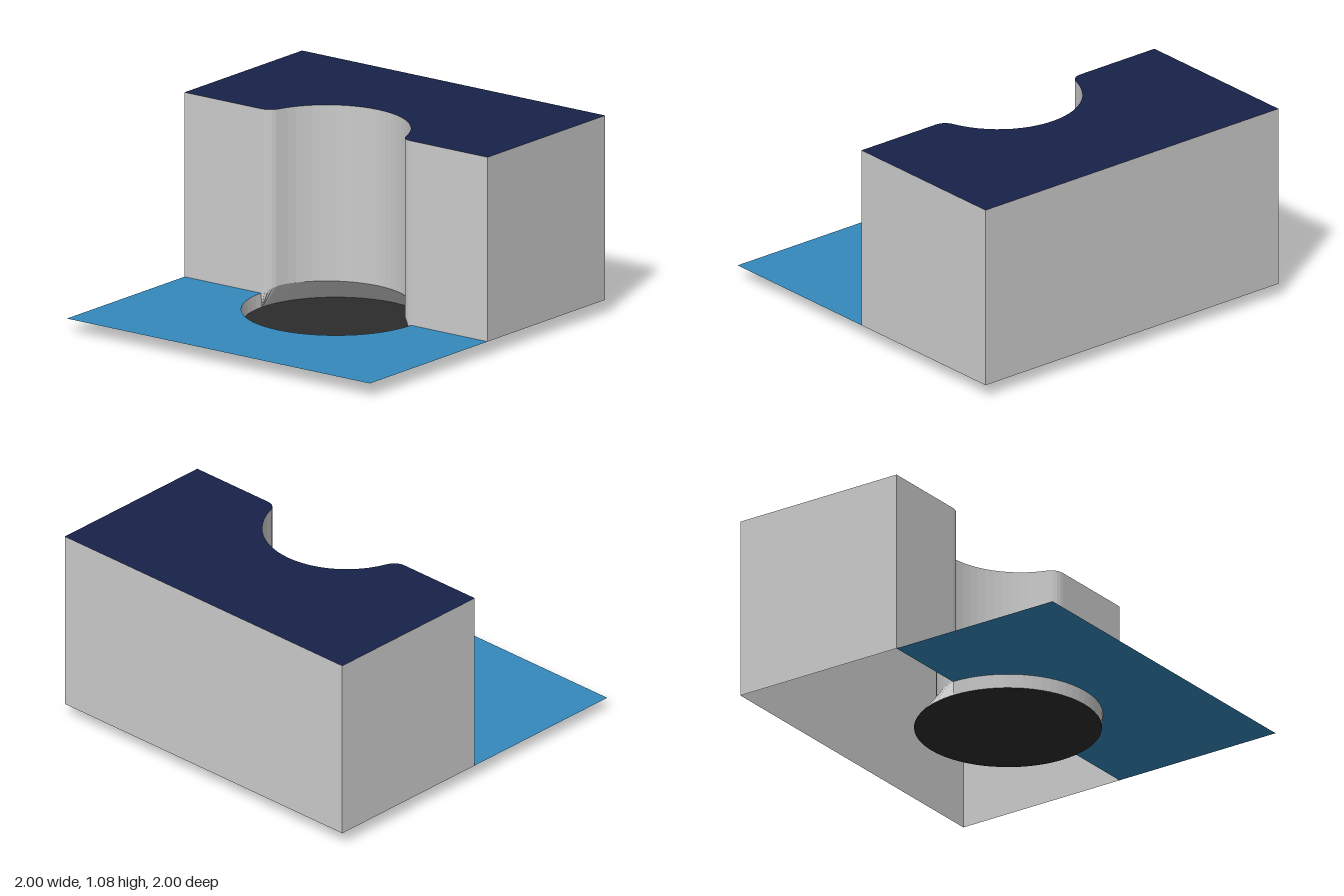
import * as THREE from 'three';

const SHEET_Y = 0.075, TOP_Y = 1.075, RIM = 0.495, FLOOR_R = 0.49;

// Quad strip between two equally long rows of points
function ribbon(lower, upper) {
  const pos = [], index = [];
  lower.forEach((p, i) => {
    pos.push(...p.toArray(), ...upper[i].toArray());
    if (i > 0) {
      const a = 2 * (i - 1);
      index.push(a, a + 2, a + 1, a + 1, a + 2, a + 3);
    }
  });
  const g = new THREE.BufferGeometry();
  g.setAttribute('position', new THREE.Float32BufferAttribute(pos, 3));
  g.setIndex(index);
  const flat = g.toNonIndexed();
  flat.computeVertexNormals();
  return flat;
}

// Flat panel from an outline of (x, z) points at height y
function panel(points, y) {
  const g = new THREE.ShapeGeometry(new THREE.Shape(points));
  g.rotateX(Math.PI / 2);
  g.translate(0, y, 0);
  return g;
}

// Scalloped recess outline from +x to -x: rounded lip, arc, rounded lip
function recessOutline() {
  const r = 0.44, cz = 0.08, a = 0.324;
  const lip = new THREE.QuadraticBezierCurve(
    new THREE.Vector2(RIM, 0), new THREE.Vector2(0.435, 0),
    new THREE.Vector2(r * Math.cos(a), cz - r * Math.sin(a))).getPoints(5);
  const pts = [...lip];
  const n = 24;
  for (let i = 1; i < n; i++) {
    const t = a + (Math.PI - 2 * a) * i / n;
    pts.push(new THREE.Vector2(r * Math.cos(t), cz - r * Math.sin(t)));
  }
  return pts.concat(lip.map(p => new THREE.Vector2(-p.x, p.y)).reverse());
}

export function createModel() {
  const group = new THREE.Group();
  const mat = color => new THREE.MeshStandardMaterial({ color, side: THREE.DoubleSide, flatShading: true });
  const grey = mat(0xcccccc), navy = mat(0x18224a), blue = mat(0x3388bb), dark = mat(0x2c2c2c);
  const add = (name, geometry, material) => {
    const m = new THREE.Mesh(geometry, material);
    m.name = name;
    group.add(m);
  };
  const v2 = (x, z) => new THREE.Vector2(x, z);
  const at = (pts, y) => pts.map(p => new THREE.Vector3(p.x, y, p.y));

  const recess = recessOutline();

  // Hollow block: outer walls open at the bottom, and the top
  const outer = [v2(-RIM, 0), v2(-1, 0), v2(-1, -1), v2(1, -1), v2(1, 0), v2(RIM, 0)];
  add('blockWalls', ribbon(at(outer, SHEET_Y), at(outer, TOP_Y)), grey);
  add('blockTop', panel([...outer, ...recess.slice(1, -1)], TOP_Y), navy);

  // Curved recess wall, its lower edge rising away from the front corners
  const edge = recess.map(p => {
    const rise = THREE.MathUtils.clamp((RIM - Math.abs(p.x)) / 0.08, 0, 1);
    return new THREE.Vector3(p.x, SHEET_Y + 0.045 * rise, p.y);
  });
  add('recessWall', ribbon(edge, at(recess, TOP_Y)), grey);

  // Sloped skirt from the recess wall out to the floor disc
  const skirtFoot = recess.map(p => {
    const t = Math.atan2(-p.y, p.x);
    return new THREE.Vector3(FLOOR_R * Math.cos(t), 0, -FLOOR_R * Math.sin(t));
  });
  add('recessSkirt', ribbon(skirtFoot, edge), grey);

  // Front half of the pit wall
  const half = r => Array.from({ length: 33 }, (_, i) => {
    const t = Math.PI * (1 - i / 32);
    return v2(r * Math.cos(t), r * Math.sin(t));
  });
  add('pitWall', ribbon(at(half(FLOOR_R), 0), at(half(RIM), SHEET_Y)), grey);

  // Ground sheet with a half-round cut-out
  add('groundSheet', panel([v2(1, 0), v2(1, 1), v2(-1, 1), v2(-1, 0), ...half(RIM)], SHEET_Y), blue);

  // Pit floor
  const floor = new THREE.CircleGeometry(FLOOR_R, 64);
  floor.rotateX(-Math.PI / 2);
  add('pitFloor', floor, dark);

  return group;
}
